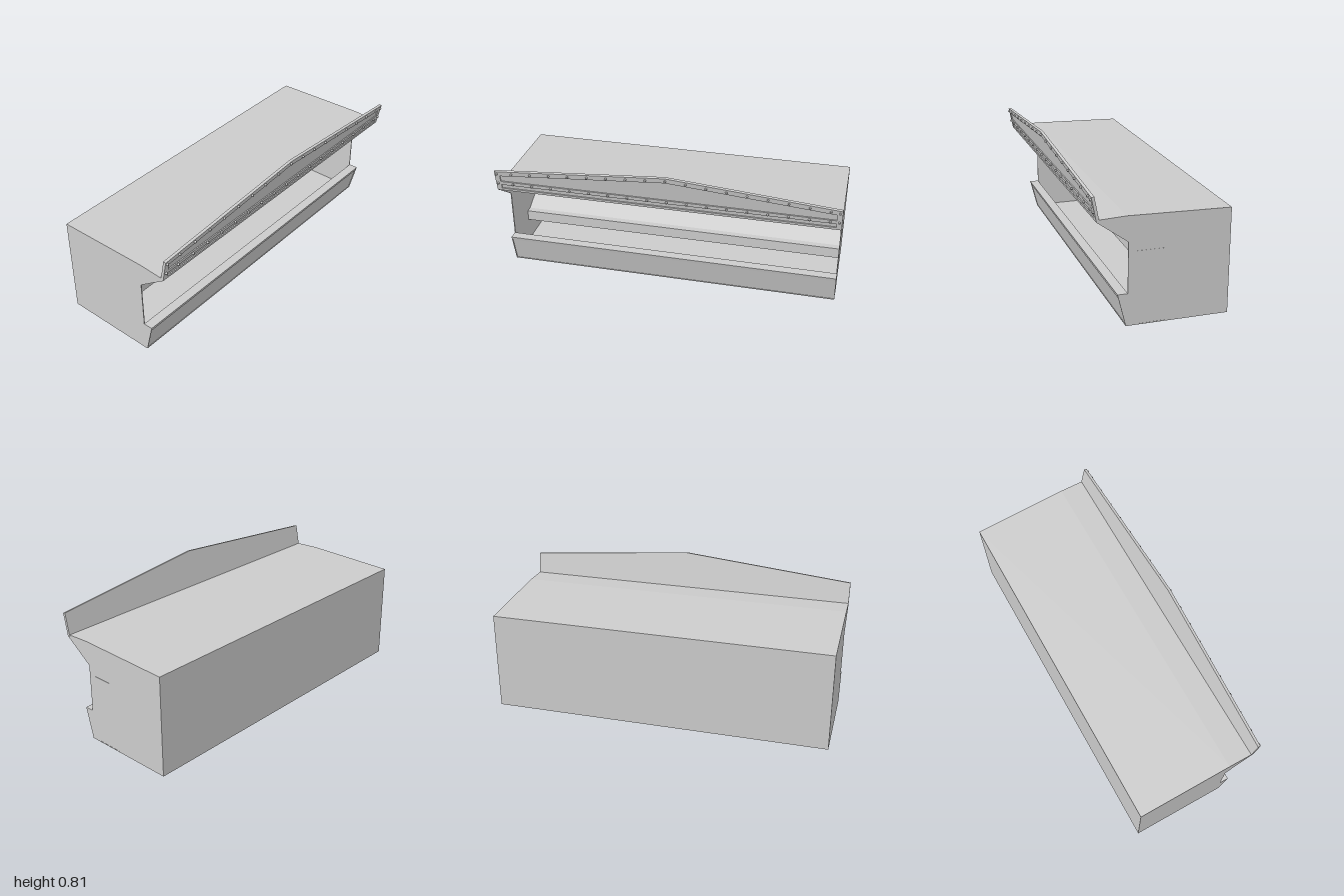
import * as THREE from 'three';

const mat = new THREE.MeshStandardMaterial({ color: 0xcccccc });

const shapeOf = (pts) => new THREE.Shape(pts.map(([a, b]) => new THREE.Vector2(a, b)));

function add(parent, name, geometry, x = 0, y = 0, z = 0) {
  const mesh = new THREE.Mesh(geometry, mat);
  mesh.name = name;
  mesh.position.set(x, y, z);
  parent.add(mesh);
  return mesh;
}

// Sweeps a (z, y) profile along x from x0 to x1
function sweep(parent, name, profile, x0 = -0.995, x1 = 0.995) {
  const geo = new THREE.ExtrudeGeometry(shapeOf(profile), { depth: x1 - x0, bevelEnabled: false });
  geo.rotateY(-Math.PI / 2).translate(x1, 0, 0);
  return add(parent, name, geo);
}

export function createModel() {
  const model = new THREE.Group();
  model.name = 'cabinet';

  // End panels: full side outline
  const side = [[-0.39, 0], [0.18, 0], [0.226, 0.182], [0.17, 0.182], [0.17, 0.465],
    [0.336, 0.585], [0.336, 0.598], [0.32, 0.598], [0.18, 0.605], [-0.39, 0.593]];
  sweep(model, 'leftEndPanel', side, 0.994, 0.999);
  sweep(model, 'rightEndPanel', side, -1, -0.995);

  // Open-fronted shell
  sweep(model, 'roof', [[-0.39, 0.588], [0.18, 0.6], [0.336, 0.585], [0.336, 0.598],
    [0.32, 0.598], [0.18, 0.605], [-0.39, 0.593]]);
  sweep(model, 'backWall', [[-0.39, 0], [-0.385, 0], [-0.385, 0.59], [-0.39, 0.59]]);
  sweep(model, 'floor', [[-0.388, 0], [0.18, 0], [0.181, 0.005], [-0.388, 0.005]]);

  // Front lip with its top rail
  sweep(model, 'frontLip', [[0.168, 0], [0.176, 0], [0.216, 0.162], [0.208, 0.162]]);
  sweep(model, 'lipRail', [[0.17, 0.176], [0.205, 0.176], [0.205, 0.16], [0.22, 0.16],
    [0.226, 0.182], [0.17, 0.182]]);

  // Inner shelf: front board, flat rim and rising back slope
  sweep(model, 'slopedShelf', [[-0.05, 0.145], [-0.05, 0.21], [-0.09, 0.21], [-0.386, 0.35],
    [-0.386, 0.335], [-0.09, 0.195], [-0.06, 0.195], [-0.06, 0.145]]);

  // Thin seams on the left end
  [[0.164, 0.002, 0.411, 0.041], [0.164, 0.002, 0.005, 0.041], [0.002, 0.02, 0.015, 0.124]]
    .forEach(([d, h, y, z]) => add(model, 'endSeam', new THREE.BoxGeometry(0.004, h, d), 0.998, y, z));

  // Header board leaning forward, gabled, with a raised frame
  const header = new THREE.Group();
  header.name = 'headerBoard';
  header.position.set(0, 0.585, 0.337);
  header.rotation.x = 0.195;
  model.add(header);

  const apex = 0.02, hApex = 0.227, hEnd = 0.136;
  const topAt = (x) => hApex - (hApex - hEnd) * (x < apex ? (apex - x) / (1 + apex) : (x - apex) / (1 - apex));
  const gable = (x, bottom, drop) => [[-x, bottom], [x, bottom], [x, topAt(x) - drop],
    [apex, hApex - drop], [-x, topAt(-x) - drop]];

  add(header, 'headerBack',
    new THREE.ExtrudeGeometry(shapeOf(gable(1, 0, 0)), { depth: 0.01, bevelEnabled: false }), 0, 0, -0.016);
  const frame = shapeOf(gable(1, 0, 0));
  frame.holes.push(shapeOf(gable(0.97, 0.066, 0.032)));
  frame.holes.push(shapeOf([[-0.97, 0.016], [0.97, 0.016], [0.97, 0.042], [-0.97, 0.042]]));
  add(header, 'headerFrame',
    new THREE.ExtrudeGeometry(frame, { depth: 0.006, bevelEnabled: false }), 0, 0, -0.006);

  // Rivets along the gable and along the middle bar
  const rivet = new THREE.CylinderGeometry(0.006, 0.007, 0.009, 10).rotateX(Math.PI / 2);
  for (let i = -9; i <= 9; i++) {
    const x = THREE.MathUtils.clamp(apex + i * 0.1145, -0.987, 0.985);
    add(header, 'gableRivet', rivet, x, topAt(x) - 0.017, 0.0045);
    add(header, 'barRivet', rivet, x, 0.053, 0.0045);
  }

  return model;
}
